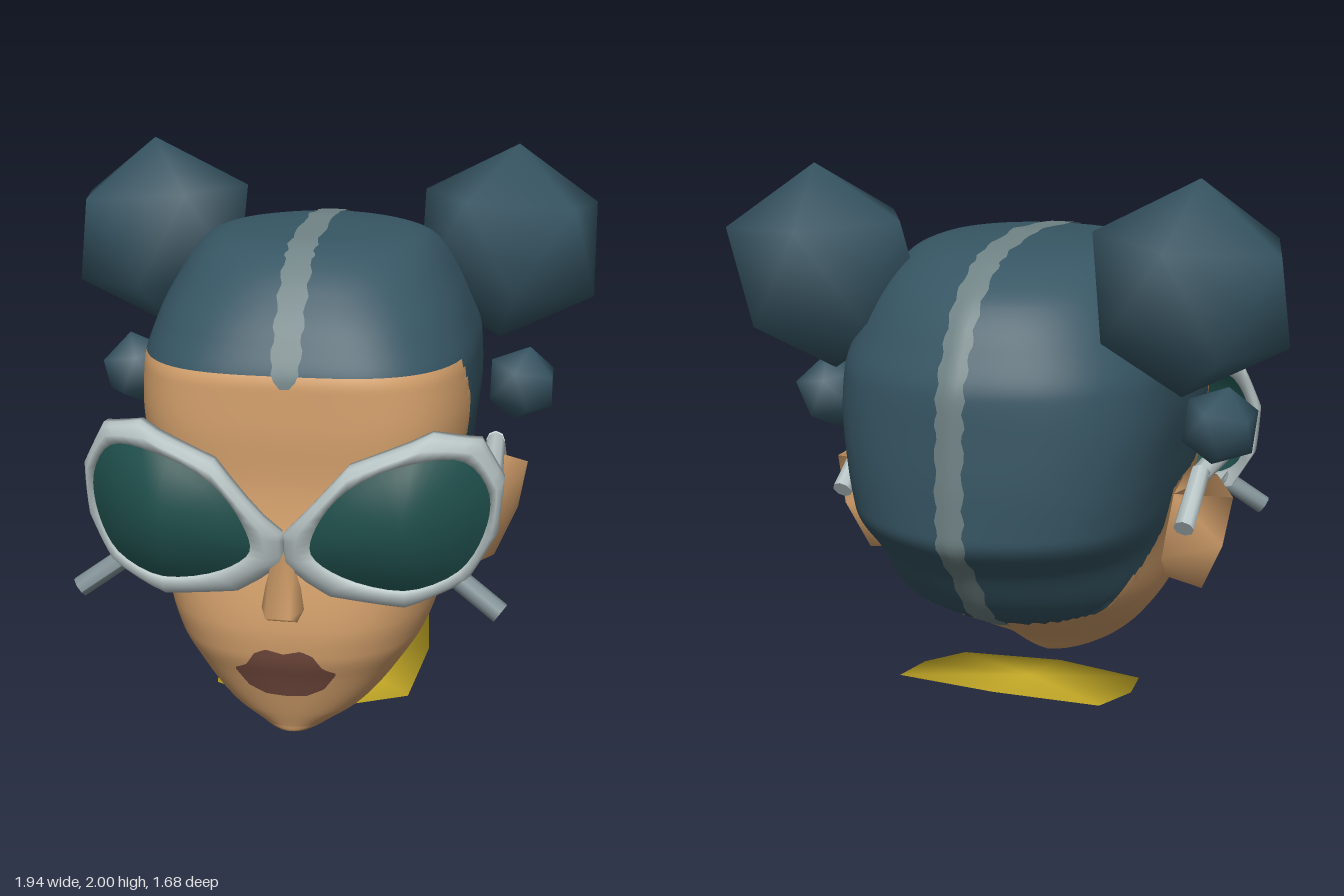
import * as THREE from 'three';
import { mergeVertices } from 'three/addons/utils/BufferGeometryUtils.js';
import { ConvexGeometry } from 'three/addons/geometries/ConvexGeometry.js';

const paint = (name, color) => {
  const m = new THREE.MeshStandardMaterial({ color, side: THREE.DoubleSide });
  m.name = name;
  return m;
};

// Lookup in rows sorted by their first entry: straight, or rounded without overshoot
function lookup(rows, t, rounded = false) {
  let i = 1;
  while (i < rows.length - 1 && t > rows[i][0]) i++;
  const a = rows[i - 1], b = rows[i], h = b[0] - a[0];
  const k = THREE.MathUtils.clamp((t - a[0]) / h, 0, 1);
  const slope = (n, c) => (rows[n][c] - rows[n - 1][c]) / (rows[n][0] - rows[n - 1][0]);
  const tangent = (n, c) => {
    if (n === 0 || n === rows.length - 1) return slope(Math.max(n, 1), c);
    const p = slope(n, c), q = slope(n + 1, c);
    return p * q > 0 ? 2 * p * q / (p + q) : 0;
  };
  return a.map((v, c) => {
    if (!rounded || c === 0) return v + (b[c] - v) * k;
    const u = 1 - k;
    return v * u * u * (1 + 2 * k) + b[c] * k * k * (3 - 2 * k)
      + h * k * u * (tangent(i - 1, c) * u - tangent(i, c) * k);
  });
}

// Smooth surface from fn(i, j) over a grid of nu by nv quads
function patch(nu, nv, fn) {
  const pos = [], idx = [], s = nu + 1;
  for (let j = 0; j <= nv; j++) for (let i = 0; i <= nu; i++) pos.push(...fn(i, j));
  for (let j = 0; j < nv; j++) for (let i = 0; i < nu; i++) {
    const a = j * s + i, d = a + s;
    idx.push(a, a + 1, d + 1, a, d + 1, d);
  }
  let g = new THREE.BufferGeometry();
  g.setAttribute('position', new THREE.Float32BufferAttribute(pos, 3));
  g.setIndex(idx);
  g = mergeVertices(g, 1e-5);
  g.computeVertexNormals();
  return g;
}

function mirrored(geo) {
  const g = geo.clone();
  const p = g.attributes.position;
  for (let i = 0; i < p.count; i++) p.setX(i, -p.getX(i));
  const ix = Array.from(g.index.array);
  for (let i = 0; i < ix.length; i += 3) [ix[i], ix[i + 1]] = [ix[i + 1], ix[i]];
  g.setIndex(ix);
  g.computeVertexNormals();
  return g;
}

// Shares corners so that shading runs smoothly across the faces
function welded(geo) {
  geo.deleteAttribute('uv');
  geo.deleteAttribute('normal');
  const g = mergeVertices(geo, 1e-4);
  g.computeVertexNormals();
  return g;
}
const hull = points => welded(new ConvexGeometry(points.map(p => new THREE.Vector3(...p))));

// Tapered rod between two points
function rod(a, b, r0, r1) {
  const A = new THREE.Vector3(...a), B = new THREE.Vector3(...b), d = B.clone().sub(A);
  const g = new THREE.CylinderGeometry(r1, r0, d.length(), 8);
  g.applyQuaternion(new THREE.Quaternion().setFromUnitVectors(new THREE.Vector3(0, 1, 0), d.normalize()));
  return g.translate(...A.add(B).multiplyScalar(0.5).toArray());
}

// Head rings: height, half width, front z, back z, squareness
const RINGS = [
  [0.075, 0, 0.5, 0.5, 2], [0.085, 0.1, 0.6, 0.25, 2.1], [0.11, 0.16, 0.61, 0.12, 2.2],
  [0.17, 0.25, 0.635, 0.05, 2.4], [0.32, 0.38, 0.69, -0.22, 2.6], [0.42, 0.445, 0.725, -0.41, 2.7],
  [0.52, 0.48, 0.735, -0.58, 2.9], [0.7, 0.51, 0.72, -0.72, 3.1], [0.86, 0.54, 0.68, -0.84, 3.3],
  [1.0, 0.56, 0.67, -0.84, 3.4], [1.2, 0.58, 0.68, -0.83, 3.4], [1.33, 0.575, 0.68, -0.82, 3.3],
  [1.47, 0.54, 0.62, -0.76, 3.0], [1.6, 0.48, 0.52, -0.67, 2.7], [1.7, 0.41, 0.4, -0.52, 2.4],
  [1.74, 0.33, 0.3, -0.4, 2.2], [1.77, 0, -0.1, -0.1, 2],
];
// Hairline on the sides: height, z
const HAIRLINE = [[0.42, -0.41], [0.62, -0.32], [0.75, -0.13], [0.89, -0.1], [0.91, 0.2],
  [0.98, 0.29], [1.22, 0.27], [1.34, 0.33], [1.375, 0.37]];
const isSkin = (x, y, z) => y < 0.42 || (y < 1.375 && z > lookup(HAIRLINE, y)[1]);

// The back of the head narrows to a ridge
const ridge = (k, side) => (side < 0 ? 1 - 0.17 * k : 1);

// z of the head's surface at x, y; side is 1 for front, -1 for back
function headZ(x, y, side) {
  const [, w, zf, zb, n] = lookup(RINGS, y, true);
  const k = Math.min(Math.abs(x) / Math.max(w, 0.1), 1);
  return (zf + zb) / 2 + side * (zf - zb) / 2 * Math.pow(1 - Math.pow(k, n), 1 / n) * ridge(k, side);
}

function headGeometry() {
  const cols = 200, sub = 10;
  const g = patch(cols, (RINGS.length - 1) * sub, (i, j) => {
    const r = Math.min(Math.floor(j / sub), RINGS.length - 2);
    const y0 = RINGS[r][0], y = y0 + (RINGS[r + 1][0] - y0) * (j / sub - r);
    const [, w, zf, zb, n] = lookup(RINGS, y, true);
    const a = (i % cols) / cols * Math.PI * 2, s = Math.sin(a), c = Math.cos(a);
    const size = Math.pow(Math.pow(Math.abs(s), n) + Math.pow(Math.abs(c), n), -1 / n);
    const px = s * size, pz = c * size;
    const z = (zf + zb) / 2 + (zf - zb) / 2 * pz * ridge(Math.abs(px), pz);
    // Pull nearby corners onto the hairline for a clean edge
    const edge = lookup(HAIRLINE, y)[1];
    const near = y > 0.42 && y < 1.375 && Math.abs(z - edge) < 0.014;
    return [w * px, y, near ? edge : z];
  });
  // Split the faces into skin and hair
  const p = g.attributes.position, ix = g.index.array, skin = [], hair = [];
  for (let t = 0; t < ix.length; t += 3) {
    const f = [ix[t], ix[t + 1], ix[t + 2]];
    const mid = k => f.reduce((sum, v) => sum + p.getComponent(v, k), 0) / 3;
    (isSkin(mid(0), mid(1), mid(2)) ? skin : hair).push(...f);
  }
  g.setIndex([...skin, ...hair]);
  g.addGroup(0, skin.length, 0);
  g.addGroup(skin.length, hair.length, 1);
  return g;
}

// Parting stripe: up the forehead, over the crown and down the back
function partingGeometry() {
  const subdivide = (from, side) => {
    const out = [], ys = RINGS.map(r => r[0]).filter(y => y >= from);
    ys.forEach((y, i) => {
      for (let k = 0; k < 6 && i < ys.length - 1; k++) out.push([y + (ys[i + 1] - y) * k / 6, side]);
    });
    return out;
  };
  const path = [...subdivide(1.33, 1), [1.77, 1], ...subdivide(0.42, -1).reverse()];
  return patch(4, path.length - 1, (i, j) => {
    const [y, side] = path[j];
    const x = (i / 2 - 1) * Math.min(0.047 + 0.006 * Math.sin(j * 1.7), 0.015 + 0.02 * j);
    const z = headZ(x, y, side);
    return [x, 0.9 + (y - 0.9) * 1.006, -0.08 + (z + 0.08) * 1.007];
  });
}

// Flat paint laid over the face between a lower and an upper line of x, y points
function facePaint(x0, x1, low, top) {
  return patch(24, 8, (i, j) => {
    const x = x0 + (x1 - x0) * i / 24, a = Math.abs(x);
    const y0 = lookup(low, a)[1], y = y0 + (lookup(top, a)[1] - y0) * j / 8;
    return [x, y, headZ(x, y, 1) + 0.007];
  });
}

// Goggle outlines for one side and the curve they lie on
const RIM = [[0, 0.86], [0.22, 1.11], [0.48, 1.21], [0.63, 1.17], [0.705, 1.03],
  [0.69, 0.85], [0.6, 0.7], [0.4, 0.615], [0.15, 0.64], [0, 0.75]];
const LENS = [[0.12, 0.91], [0.22, 1.04], [0.42, 1.13], [0.58, 1.12], [0.66, 1.0],
  [0.645, 0.86], [0.57, 0.745], [0.4, 0.69], [0.2, 0.73], [0.1, 0.81]];
const BEND = [[0, 0.75], [0.08, 0.79], [0.38, 0.8], [0.55, 0.73], [0.7, 0.6]];
const goggleZ = (x, y) => lookup(BEND, x, true)[1] - 0.85 * (y - 0.9) ** 2 + 0.07 * (y - 0.9);
const STEPS = 40;
const lensCurve = new THREE.CatmullRomCurve3(LENS.map(p => new THREE.Vector3(...p, 0)), true);
const lensEdge = i => lensCurve.getPoint((i % STEPS) / STEPS);
function rimEdge(i) {
  const t = (i % STEPS) / STEPS * RIM.length, n = Math.floor(t);
  const a = RIM[n], b = RIM[(n + 1) % RIM.length];
  return a.map((v, c) => v + (b[c] - v) * (t - n));
}

function frameGeometry() {
  // Cross-section: share of the way from lens to rim, z offset; deeper towards the temples
  const section = [[0, 0], [0.5, 0.02], [0.9, 0], [1, -0.035], [0.95, -0.085], [0, -0.06]];
  return patch(STEPS, 6, (i, j) => {
    const [k, dz] = section[j % 6], a = lensEdge(i), b = rimEdge(i);
    const x = a.x + (b[0] - a.x) * k, y = a.y + (b[1] - a.y) * k;
    return [x, y, goggleZ(x, y) + dz * (0.6 + 0.55 * x)];
  });
}

function lensGeometry() {
  return patch(STEPS, 6, (i, j) => {
    const v = j / 6, e = lensEdge(i);
    const x = 0.4 + (e.x - 0.4) * v, y = 0.91 + (e.y - 0.91) * v;
    return [x, y, goggleZ(x, y) - 0.01 + 0.03 * (1 - v * v)];
  });
}

// Twenty-sided hair bun, turned from a face forward and a corner up
function bunGeometry(r, center, [rx, ry, rz], scale) {
  const g = welded(new THREE.IcosahedronGeometry(r, 0));
  g.applyQuaternion(new THREE.Quaternion().setFromUnitVectors(
    new THREE.Vector3(1, 1, 1).normalize(), new THREE.Vector3(0, 0, 1)));
  g.rotateZ(0.397 + Math.PI / 3 + rz).rotateX(rx).rotateY(ry);
  return g.scale(...scale).translate(...center);
}

export function createModel() {
  const model = new THREE.Group();
  model.name = 'gogglesHead';
  const skin = paint('skin', 0xd6a26d), hair = paint('hair', 0x365563);
  const stripe = paint('parting', 0x6f8284), metal = paint('frame', 0xb9c5c6);
  const peg = paint('peg', 0x7f8f94), glass = paint('lens', 0x1f4f4c);
  const lip = paint('lips', 0x744b3e), yellow = paint('collar', 0xd8bb2c);
  const add = (name, geo, mat) => {
    const m = new THREE.Mesh(geo, mat);
    m.name = name;
    model.add(m);
  };
  const pair = (name, geo, mat) => {
    add(name + 'Left', geo, mat);
    add(name + 'Right', mirrored(geo), mat);
  };

  // Face
  add('head', headGeometry(), [skin, hair]);
  add('parting', partingGeometry(), stripe);
  add('lips', facePaint(-0.17, 0.17, [[0, 0.255], [0.07, 0.26], [0.13, 0.29], [0.17, 0.35]],
    [[0, 0.435], [0.06, 0.45], [0.1, 0.43], [0.13, 0.38], [0.17, 0.36]]), lip);
  pair('eyebrow', facePaint(0.25, 0.46, [[0.25, 1.05], [0.36, 1.09], [0.46, 1.09]],
    [[0.25, 1.09], [0.36, 1.13], [0.46, 1.1]]), hair);
  add('nose', hull([[0, 0.84, 0.68], [0.08, 0.6, 0.7], [-0.08, 0.6, 0.7], [0.04, 0.605, 0.835],
    [-0.04, 0.605, 0.835], [0.05, 0.55, 0.725], [-0.05, 0.55, 0.725], [0.04, 0.74, 0.745],
    [-0.04, 0.74, 0.745]]), skin);
  pair('ear', hull([[0.52, 0.9, 0.12], [0.46, 0.48, 0.1], [0.76, 0.88, -0.11], [0.73, 0.7, -0.12],
    [0.65, 0.52, -0.08], [0.54, 0.86, -0.08], [0.48, 0.6, -0.05], [0.68, 0.93, -0.02]]), skin);

  // Hair buns
  pair('largeBun', bunGeometry(0.36, [0.655, 1.645, -0.36], [-0.2, 0.13, -0.07], [1.04, 1, 0.89]), hair);
  pair('smallBun', bunGeometry(0.14, [0.725, 1.155, -0.19], [0, Math.PI / 2, 0], [1, 1, 1.13]), hair);

  // Goggles
  pair('goggleFrame', frameGeometry(), metal);
  pair('goggleLens', lensGeometry(), glass);
  pair('templeArm', rod([0.65, 0.95, 0.58], [0.64, 0.95, -0.12], 0.047, 0.034), metal);
  pair('templeTip', rod([0.64, 0.96, -0.1], [0.64, 0.82, -0.32], 0.034, 0.036), metal);
  pair('gogglePeg', rod([0.55, 0.715, 0.63], [0.71, 0.605, 0.67], 0.036, 0.036), peg);

  // Slanted collar plate under the jaw, closed above and below
  const edge = [[0, 0.27], [0.36, 0.15], [0.41, -0.13], [0.38, -0.42], [0, -0.46],
    [-0.38, -0.42], [-0.41, -0.13], [-0.36, 0.15]];
  add('collar', patch(8, 2, (i, j) => {
    const [x, z] = j === 1 ? edge[i % 8] : [0, -0.1];
    return [x, (0.27 - z) * 0.247 + (j - 1) * 0.004, z];
  }), yellow);
  return model;
}
